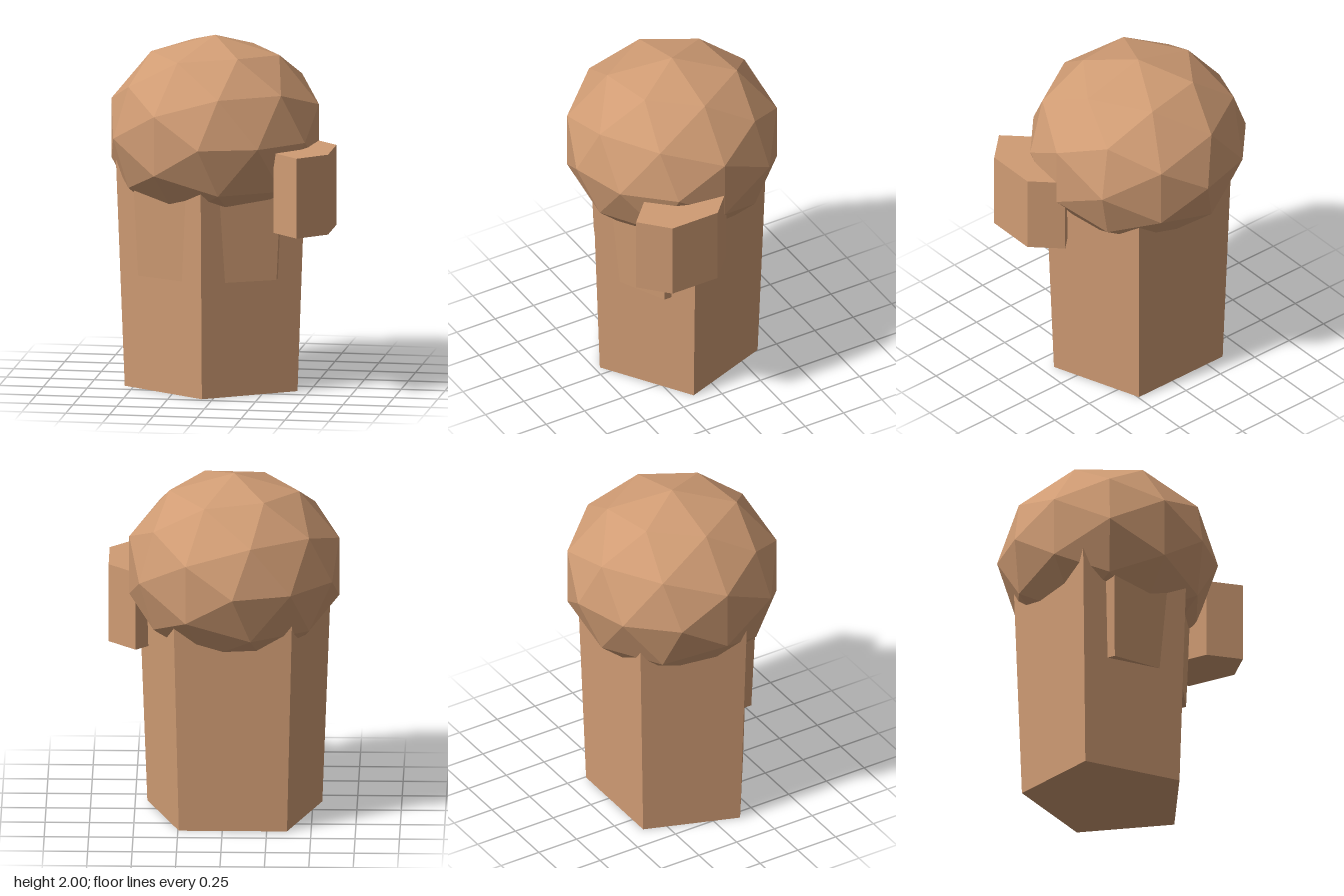
import * as THREE from 'three';

const material = new THREE.MeshStandardMaterial({ color: 0xd09c74, flatShading: true });
const CENTRE_X = -0.06;

// Tapered prism with a corner facing +z, stretched separately along x and z
function prism(name, sides, [bottomX, bottomZ], topScale, y0, y1, x, z) {
  const geometry = new THREE.CylinderGeometry(topScale, 1, y1 - y0, sides);
  geometry.scale(bottomX, 1, bottomZ);
  const mesh = new THREE.Mesh(geometry, material);
  mesh.name = name;
  mesh.position.set(x, (y0 + y1) / 2, z);
  return mesh;
}

export function createModel() {
  const model = new THREE.Group();
  model.name = 'fist';

  // Five-sided wrist, widening upwards into the hand
  model.add(prism('wrist', 5, [0.518, 0.47], 1.105, 0, 1.4, CENTRE_X, 0));

  // Six-sided palm pad that just breaks through the front faces of the wrist
  model.add(prism('palmPad', 6, [0.456, 0.384], 1.08, 0.66, 1.35, CENTRE_X, 0.088));

  // Faceted, slightly flattened ball, turned so that a pole faces the front
  const ball = new THREE.IcosahedronGeometry(1, 1);
  ball.rotateY(-Math.atan((1 + Math.sqrt(5)) / 2));
  ball.scale(0.622, 0.55, 0.622);
  const hand = new THREE.Mesh(ball, material);
  hand.name = 'hand';
  hand.position.set(CENTRE_X, 1.45, 0);
  model.add(hand);

  // Stubby six-sided thumb on one side
  model.add(prism('thumb', 6, [0.179, 0.294], 1, 0.955, 1.413, 0.495, 0.263));

  return model;
}
